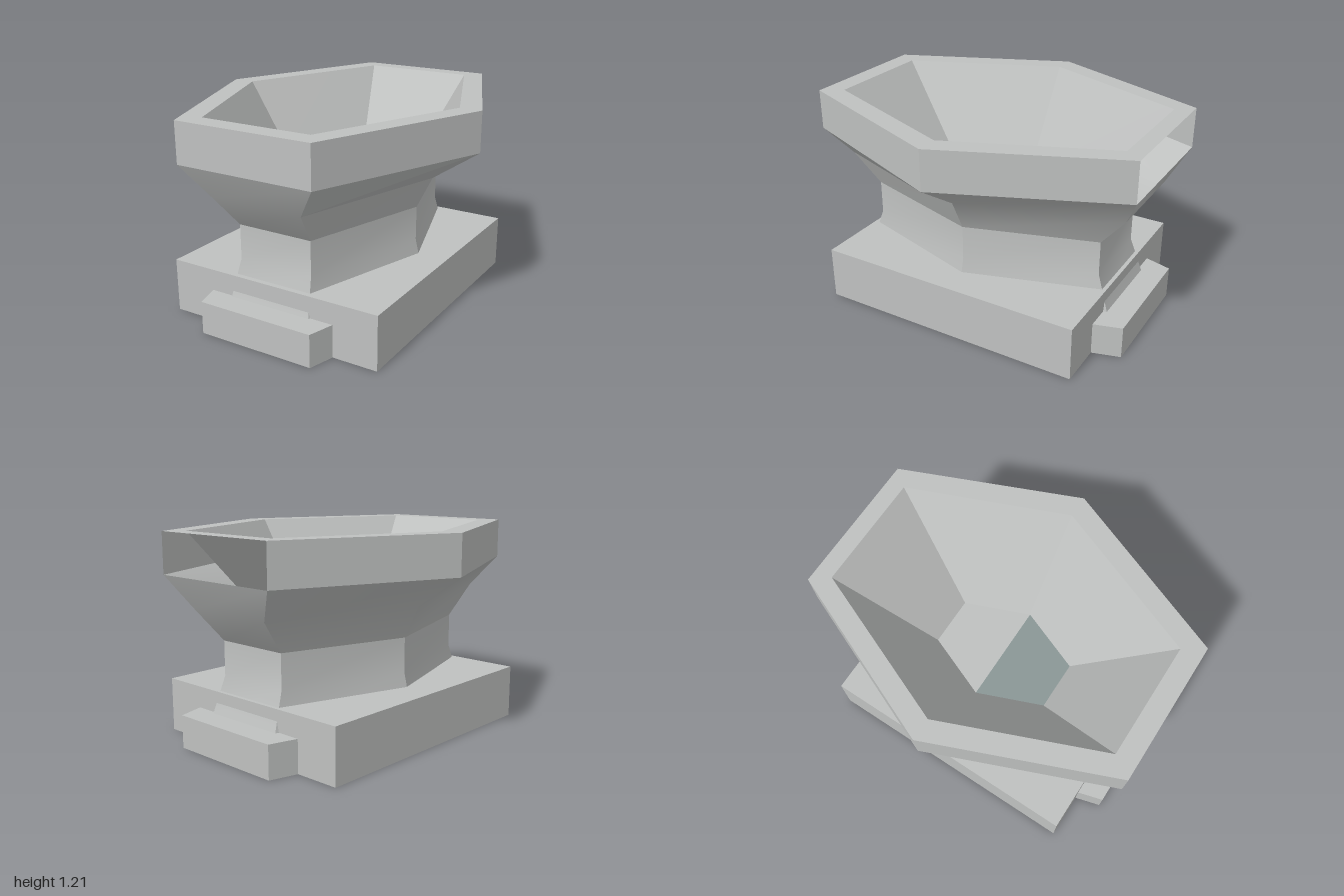
import * as THREE from 'three';
import { mergeGeometries } from 'three/addons/utils/BufferGeometryUtils.js';

// Long six-sided ring: half width of the end edges, half width at the middle, half length, height
const MID = -0.01;
function ring(endX, midX, z, y, shift = 0) {
  return [
    [endX, y, z + shift], [-endX, y, z + shift], [-midX, y, MID],
    [-endX, y, -z + shift], [endX, y, -z + shift], [midX, y, MID],
  ];
}

// One side of the six, running smoothly through the given rings
function panel(rings, side, flat) {
  const pos = [], idx = [];
  rings.forEach((r) => pos.push(...r[side], ...r[(side + 1) % 6]));
  for (let k = 0; k < rings.length - 1; k++) {
    const a = k * 2;
    idx.push(a + 1, a, a + 2, a + 1, a + 2, a + 3);
  }
  let g = new THREE.BufferGeometry();
  g.setAttribute('position', new THREE.Float32BufferAttribute(pos, 3));
  g.setIndex(idx);
  g = flat ? g.toNonIndexed() : g;
  g.computeVertexNormals();
  return flat ? g : g.toNonIndexed();
}

// All sides of a band, with sharp edges between sides
function band(rings, { skip = [], flat = [] } = {}) {
  const sides = [0, 1, 2, 3, 4, 5].filter((s) => !skip.includes(s));
  return mergeGeometries(sides.map((s) => panel(rings, s, flat.includes(s))));
}

// Flat four-cornered face
function quad(a, b, c, d) {
  const g = new THREE.BufferGeometry();
  g.setAttribute('position', new THREE.Float32BufferAttribute([...a, ...b, ...c, ...d], 3));
  g.setIndex([0, 1, 2, 0, 2, 3]);
  g.computeVertexNormals();
  return g;
}

export function createModel() {
  const stone = new THREE.MeshStandardMaterial({ color: 0xbfc1c0, side: THREE.DoubleSide });
  stone.name = 'grey stone';
  const water = new THREE.MeshStandardMaterial({ color: 0x8a9796, side: THREE.DoubleSide });
  water.name = 'dull teal';

  const model = new THREE.Group();
  model.name = 'pedestalBasin';
  const add = (name, geometry, material = stone) => {
    const mesh = new THREE.Mesh(geometry, material);
    mesh.name = name;
    model.add(mesh);
  };

  // Rectangular plinth
  const plinth = new THREE.BoxGeometry(1.33, 0.315, 1.6);
  plinth.translate(0, 0.1575, 0);
  add('plinth', plinth);

  // Six-sided foot, showing at both ends of the plinth
  const foot0 = ring(0.355, 0.63, 0.955, 0, -0.005);
  const foot1 = ring(0.355, 0.63, 0.955, 0.19, -0.005);
  const stem0 = ring(0.255, 0.51, 0.815, 0.19, -0.005);
  add('footSides', band([foot0, foot1]));
  add('footTop', band([foot1, stem0]));
  add('footBottom', mergeGeometries([
    quad(foot0[5], foot0[0], foot0[1], foot0[2]),
    quad(foot0[2], foot0[3], foot0[4], foot0[5]),
  ]));

  // Stem and flared underside of the bowl
  const stem1 = ring(0.23, 0.46, 0.745, 0.4, -0.003);
  const stem2 = ring(0.23, 0.46, 0.745, 0.6, -0.003);
  const flare = ring(0.28, 0.555, 0.9, 0.79, -0.003);
  const rim0 = ring(0.415, 0.83, 1, 0.975);
  add('stem', band([stem0, stem1, stem2]));
  add('flare', band([stem2, flare, rim0], { flat: [5] }));

  // Rim, open at the back
  const rim1 = ring(0.415, 0.83, 1, 1.21);
  const lip = ring(0.335, 0.7, 0.89, 1.21, -0.01);
  add('rimSides', band([rim0, rim1], { skip: [3] }));
  add('rimTop', band([rim1, lip]));

  // Sloping inside of the bowl and its two-part floor
  const floor = ring(0.147, 0.3, 0.38, 0.58, -0.01);
  add('bowlInside', band([lip, floor]));
  add('floorBack', quad(floor[5], floor[4], floor[3], floor[2]));
  add('floorFront', quad(floor[2], floor[1], floor[0], floor[5]), water);

  return model;
}
